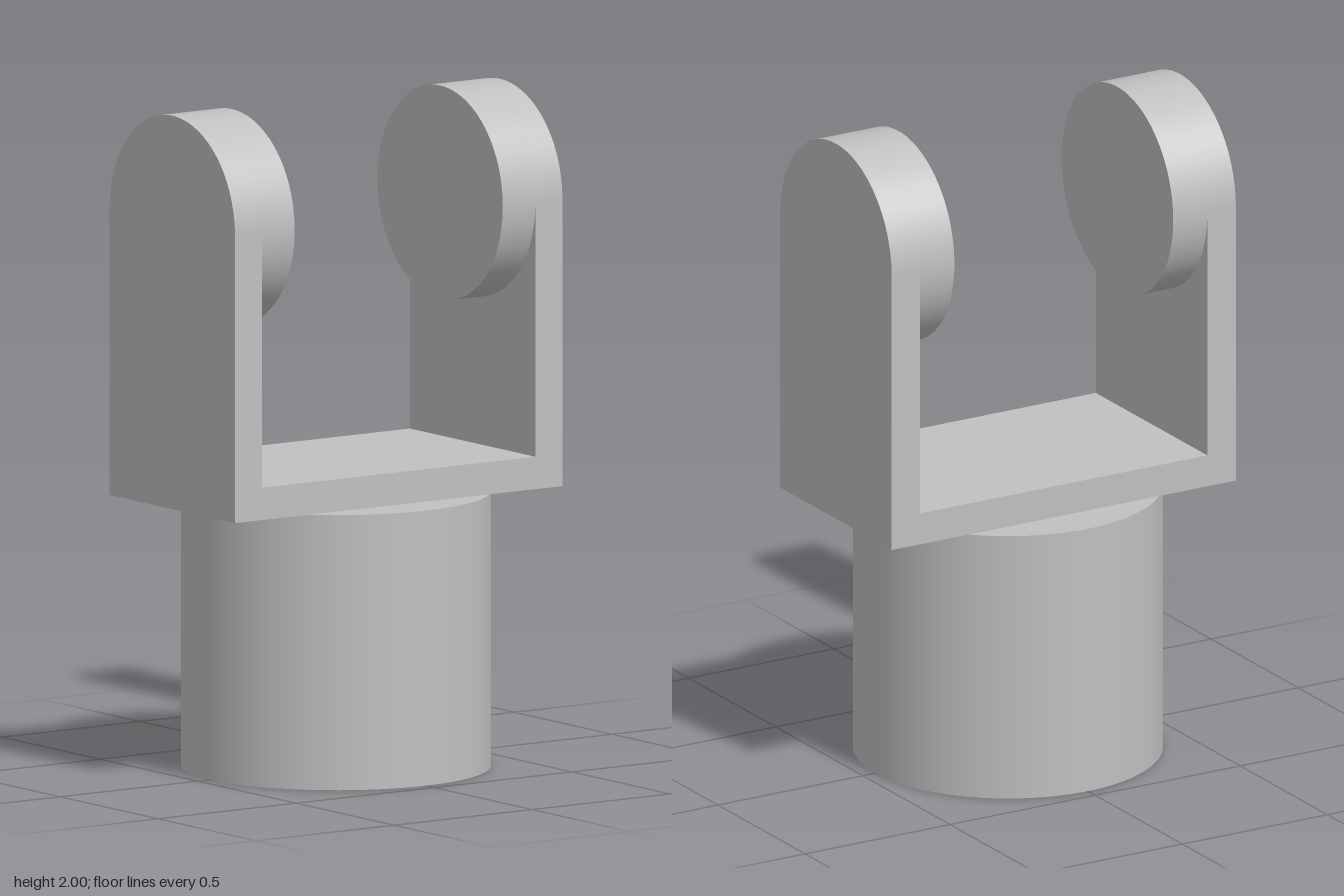
import * as THREE from 'three';
import { toCreasedNormals } from 'three/addons/utils/BufferGeometryUtils.js';

export function createModel() {
  const group = new THREE.Group();
  const grey = new THREE.MeshStandardMaterial({ color: 0xc0c0c0 });
  grey.name = 'light grey';

  const add = (name, geometry, x, y) => {
    const mesh = new THREE.Mesh(geometry, grey);
    mesh.name = name;
    mesh.position.set(x, y, 0);
    group.add(mesh);
  };

  const stemRadius = 0.458, stemTop = 0.823;
  const floorTop = 0.92;
  const armInner = 0.495, armOuter = 0.593;
  const bossInner = 0.377, radius = 0.32, axisY = 1.68;

  // Round stem
  add('stem', new THREE.CylinderGeometry(stemRadius, stemRadius, stemTop, 96), 0, stemTop / 2);

  // Floor of the fork
  add('forkFloor', new THREE.BoxGeometry(armInner * 2, floorTop - stemTop, radius * 2),
    0, (floorTop + stemTop) / 2);

  // Arm outline: straight sides with a half-round top
  const outline = new THREE.Shape();
  outline.moveTo(-radius, stemTop);
  outline.lineTo(radius, stemTop);
  outline.lineTo(radius, axisY);
  outline.absarc(0, axisY, radius, 0, Math.PI, false);
  outline.closePath();

  const armGeometry = toCreasedNormals(
    new THREE.ExtrudeGeometry(outline, {
      depth: armOuter - armInner, bevelEnabled: false, curveSegments: 48,
    }).rotateY(Math.PI / 2), 0.5);

  // Disc-shaped boss on the inner face of each arm
  const bossWidth = armInner - bossInner;
  const bossGeometry = new THREE.CylinderGeometry(radius, radius, bossWidth, 96)
    .rotateZ(Math.PI / 2);

  for (const [side, sign] of [['left', 1], ['right', -1]]) {
    add(side + 'Arm', armGeometry, sign > 0 ? armInner : -armOuter, 0);
    add(side + 'Boss', bossGeometry, sign * (armInner + bossInner) / 2, axisY);
  }

  return group;
}
